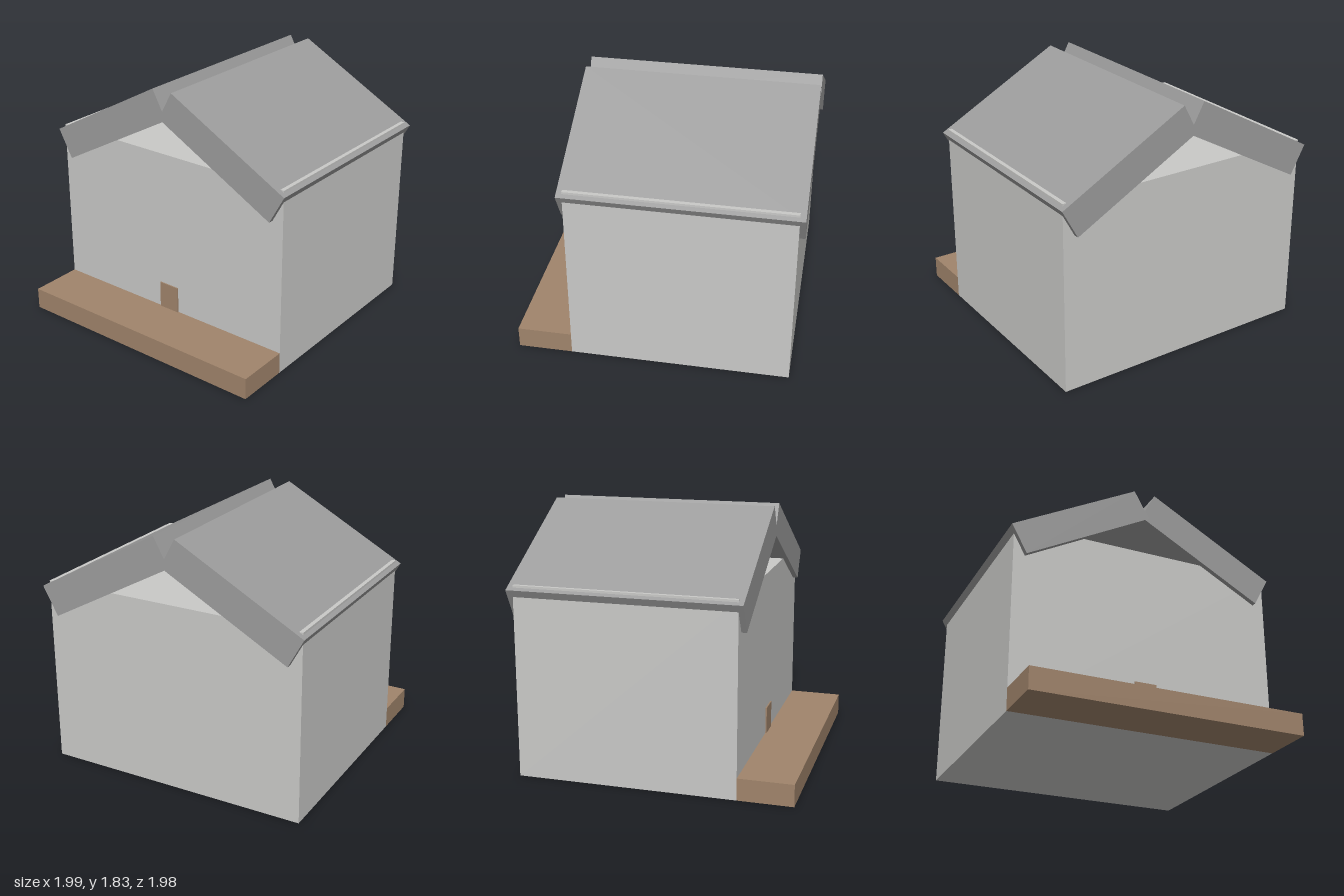
import * as THREE from 'three';

export function createModel() {
  const model = new THREE.Group();
  const material = (name, color) => {
    const m = new THREE.MeshStandardMaterial({ color });
    m.name = name;
    return m;
  };
  const wall = material('pale grey wall', 0xc9c9c7);
  const roof = material('grey roof', 0x9c9c9c);
  const wood = material('brown wood', 0xa0846b);

  // Box given by its minimum and maximum corners
  const box = (name, mat, min, max) => {
    const size = max.map((v, i) => v - min[i]);
    const mesh = new THREE.Mesh(new THREE.BoxGeometry(...size), mat);
    mesh.position.set(...max.map((v, i) => (v + min[i]) / 2));
    mesh.name = name;
    model.add(mesh);
    return mesh;
  };

  // House body, front deck and door
  box('houseBody', wall, [-0.97, 0, -0.95], [0.97, 1.36, 0.603]);
  box('frontDeck', wood, [-0.97, 0, 0.603], [0.97, 0.156, 0.99]);
  box('door', wood, [-0.08, 0.156, 0.603], [0.08, 0.352, 0.612]);

  // Two thick roof slabs that cross below the ridge notch
  for (const side of [1, -1]) {
    const slab = box(side > 0 ? 'leftRoofSlab' : 'rightRoofSlab', roof,
      [-0.5225, -0.116, -0.99], [0.5225, 0.116, 0.64]);
    slab.position.x = side * 0.483;
    slab.position.y = 1.478;
    slab.rotation.z = -side * THREE.MathUtils.degToRad(28.6);
  }
  return model;
}
